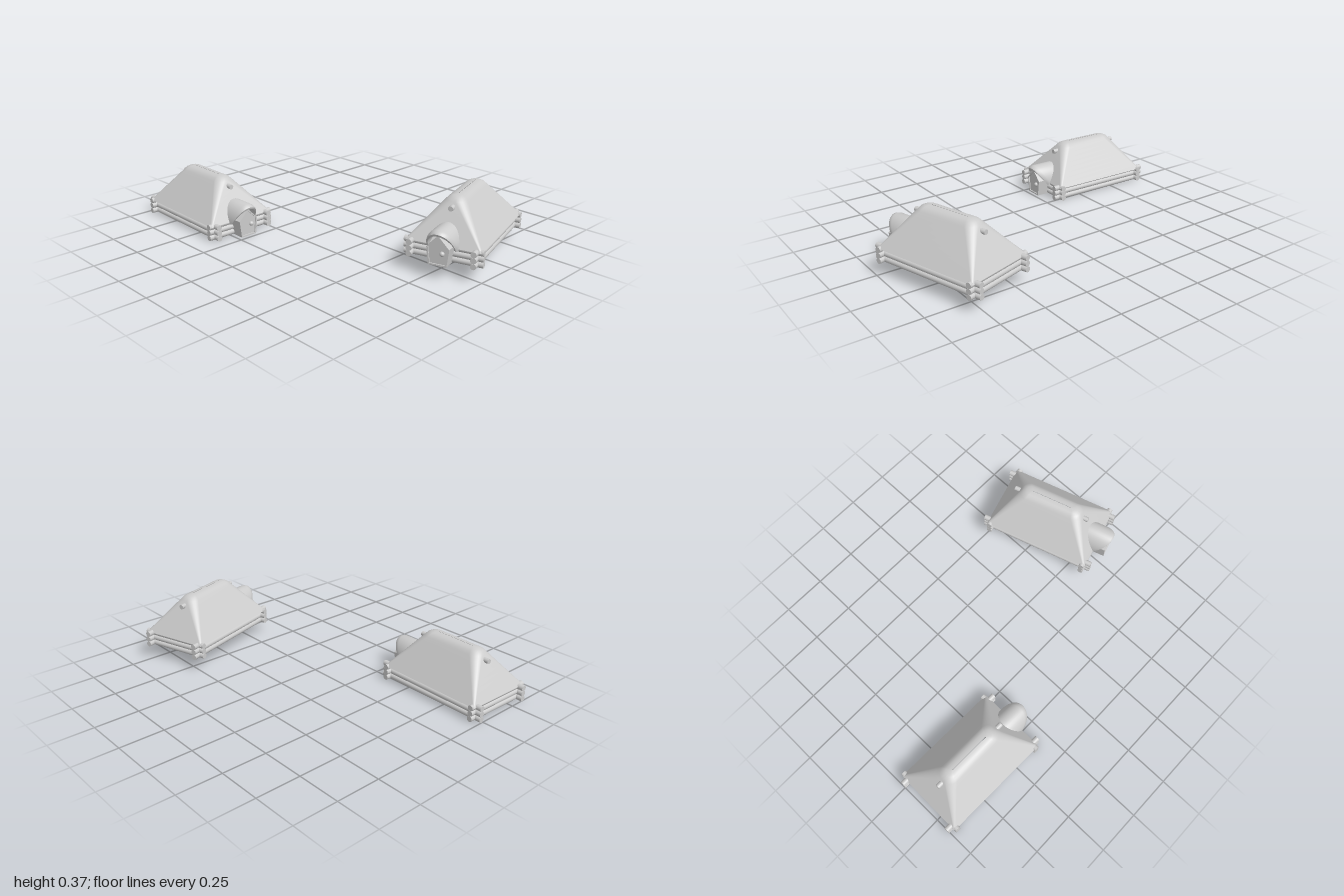
import * as THREE from 'three';
import { toCreasedNormals } from 'three/addons/utils/BufferGeometryUtils.js';

const grey = new THREE.MeshStandardMaterial({ color: 0xcccccc, side: THREE.DoubleSide });

function add(parent, name, geometry, x = 0, y = 0, z = 0) {
  const mesh = new THREE.Mesh(geometry, grey);
  mesh.name = name;
  mesh.position.set(x, y, z);
  parent.add(mesh);
  return mesh;
}

// Joins rows of points into a surface; each row can close on itself
function loft(rows, closed) {
  const n = rows[0].length, index = [];
  for (let i = 0; i < rows.length - 1; i++) {
    for (let j = 0; j < (closed ? n : n - 1); j++) {
      const k = (j + 1) % n;
      const a = i * n + j, b = i * n + k, c = a + n, d = b + n;
      index.push(a, c, b, b, c, d);
    }
  }
  const g = new THREE.BufferGeometry();
  g.setAttribute('position', new THREE.Float32BufferAttribute(rows.flat(2), 3));
  g.setIndex(index);
  g.computeVertexNormals();
  return g;
}

// Rounded rectangle at height y
function ring(hx, hz, r, y) {
  const pts = [], steps = 6;
  const corners = [[1, 1], [-1, 1], [-1, -1], [1, -1]];
  corners.forEach(([sx, sz], q) => {
    for (let i = 0; i <= steps; i++) {
      const a = (q + i / steps) * Math.PI / 2;
      pts.push([sx * (hx - r) + r * Math.cos(a), y, sz * (hz - r) + r * Math.sin(a)]);
    }
  });
  return pts;
}

// Hipped thatch, open below, with hips that soften toward the ridge
function roofGeometry() {
  const rows = [];
  for (let i = 0; i <= 8; i++) {
    const t = i / 8;
    rows.push(ring(0.203 - 0.147 * t, 0.318 - 0.127 * t, 0.008 + 0.04 * t, 0.08 + 0.192 * t));
  }
  rows.push(ring(0.043, 0.178, 0.04, 0.286));
  rows.push(ring(0.028, 0.16, 0.027, 0.294));
  rows.push(ring(0.013, 0.14, 0.012, 0.297));
  rows.push(ring(0.001, 0.12, 0.0005, 0.298));
  return loft(rows, true);
}

// Thick arched hood whose peak juts forward of its lower ends
function hoodGeometry() {
  const rows = [];
  for (let i = 0; i <= 24; i++) {
    const a = (i / 12 - 1) * 1.6, s = Math.sin(a), c = Math.cos(a);
    const front = 0.402 - 0.07 * (1 - c), back = 0.24 + 0.05 * (1 - c);
    const at = (rx, ry, z) => [rx * s, 0.072 + ry * c, z];
    rows.push([
      at(0.083, 0.112, back), at(0.083, 0.112, front - 0.025), at(0.08, 0.106, front - 0.007),
      at(0.076, 0.098, front), at(0.07, 0.087, front - 0.004), at(0.068, 0.084, back),
    ]);
  }
  return toCreasedNormals(loft(rows, true), 0.9);
}

// Five-sided door outline, grown or shrunk by an inset
function doorOutline(path, d) {
  path.moveTo(-0.049 + d, d);
  path.lineTo(0.049 - d, d);
  path.lineTo(0.06 - d, 0.094);
  path.lineTo(0, 0.156 - 1.3 * d);
  path.lineTo(-0.06 + d, 0.094);
  path.closePath();
  return path;
}

function makeHut() {
  const hut = new THREE.Group();

  // Three courses of crossing logs
  const r = 0.0157;
  for (let i = 0; i < 3; i++) {
    const y = r + i * 0.031;
    for (const s of [-1, 1]) {
      const end = add(hut, 'endLog', new THREE.CylinderGeometry(r, r, 0.42, 16), 0, y, s * 0.3);
      end.rotation.z = Math.PI / 2;
      const side = add(hut, 'sideLog', new THREE.CylinderGeometry(r, r, 0.692, 16), s * 0.17, y, 0);
      side.rotation.x = Math.PI / 2;
    }
  }

  add(hut, 'roof', roofGeometry());

  // Pole ends poking through the thatch
  for (const s of [-1, 1]) {
    const pole = add(hut, 'ridgePole', new THREE.CylinderGeometry(0.0137, 0.0137, 0.06, 16), 0, 0.247, s * 0.202);
    pole.rotation.x = Math.PI / 2;
  }

  // Porch: hood, door frame, recessed door and knob
  const porch = new THREE.Group();
  porch.name = 'porch';
  hut.add(porch);
  add(porch, 'hood', hoodGeometry());
  const frame = doorOutline(new THREE.Shape(), 0);
  frame.holes.push(doorOutline(new THREE.Path(), 0.008));
  add(porch, 'doorFrame', new THREE.ExtrudeGeometry(frame, { depth: 0.095, bevelEnabled: false }), 0, 0, 0.288);
  const door = doorOutline(new THREE.Shape(), 0.008);
  add(porch, 'door', new THREE.ExtrudeGeometry(door, { depth: 0.012, bevelEnabled: false }), 0, 0, 0.364);
  add(porch, 'doorKnob', new THREE.SphereGeometry(0.013, 16, 12), 0.022, 0.065, 0.378);
  return hut;
}

export function createModel() {
  const model = new THREE.Group();
  const places = [
    ['rearHut', -0.418, 0, -0.656, -0.022],
    ['frontHut', 0.246, 0.071, 0.704, -1.276],
  ];
  for (const [name, x, y, z, turn] of places) {
    const hut = makeHut();
    hut.name = name;
    hut.position.set(x, y, z);
    hut.rotation.y = turn;
    model.add(hut);
  }
  return model;
}
